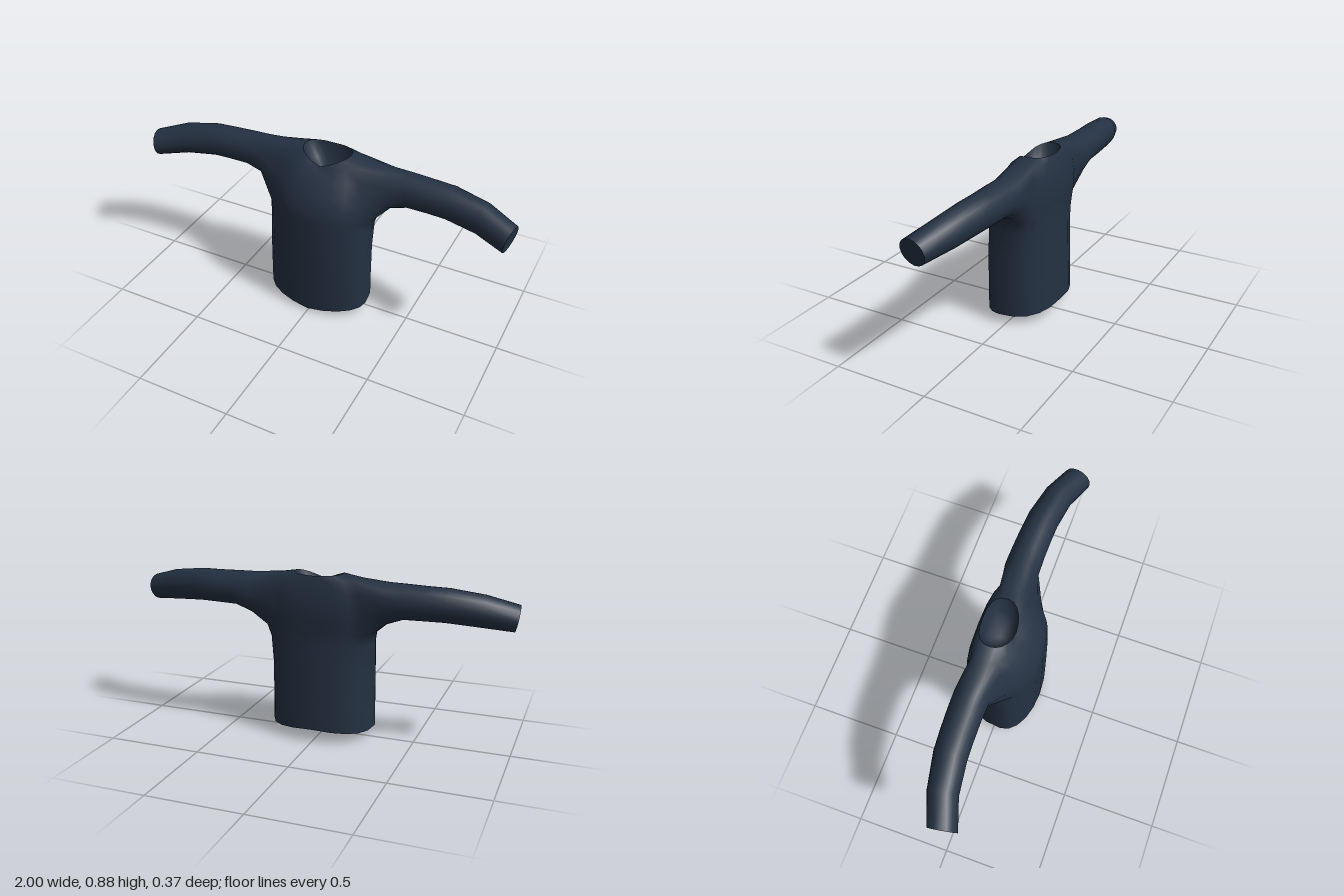
import * as THREE from 'three';

const N = 20;            // points around the torso
const M = 16;            // points around a sleeve
const HOLE = 4;          // torso row where the armhole starts (4 rows high, 4 columns wide)

// Torso rows: [side y, front y, back y, half width, front z, back z, z of widest point]
const ROWS = [
  [0.05, 0.012, 0.07, 0.277, 0.182, -0.185, 0.04],
  [0.20, 0.20, 0.20, 0.276, 0.182, -0.181, 0.04],
  [0.38, 0.38, 0.38, 0.276, 0.181, -0.174, 0.035],
  [0.52, 0.52, 0.52, 0.280, 0.180, -0.168, 0.01],
  [0.585, 0.585, 0.585, 0.295, 0.178, -0.166, -0.02],
  [0.655, 0.645, 0.65, 0.295, 0.174, -0.172, -0.045],
  [0.73, 0.715, 0.72, 0.285, 0.143, -0.174, -0.06],
  [0.80, 0.78, 0.79, 0.270, 0.095, -0.163, -0.068],
  [0.866, 0.812, 0.84, 0.230, 0.055, -0.150, -0.068],
  [0.882, 0.83, 0.876, 0.130, 0.033, -0.138, -0.055],
];

// Sleeve rings: [x, centre y, centre z, half height, half depth, slant]
const SLEEVE = [
  [0.36, 0.752, -0.066, 0.108, 0.090, 0],
  [0.45, 0.767, -0.065, 0.090, 0.087, 0],
  [0.56, 0.766, -0.062, 0.087, 0.085, 0],
  [0.66, 0.765, -0.056, 0.086, 0.083, 0.003],
  [0.83, 0.745, -0.028, 0.081, 0.076, 0.009],
  [0.985, 0.709, 0.027, 0.067, 0.073, 0.012],
];

const power = (v, e) => Math.sign(v) * Math.abs(v) ** e;

function torsoPoint([ys, yf, yb, w, zf, zb, zm], i) {
  const a = (i / N) * Math.PI * 2;
  const c = Math.cos(a), s = Math.sin(a);
  const e = s > 0 ? 0.95 : 0.8;
  const t = Math.abs(power(s, e));
  const k = 1 - Math.abs(c);
  return [
    w * power(c, e),
    ys + ((s > 0 ? yf : yb) - ys) * k,
    zm + t * ((s > 0 ? zf : zb) - zm),
  ];
}

function sleevePoint([x, y, z, ry, rz, slant], j, side) {
  const t = (j / M) * Math.PI * 2;
  const up = -Math.cos(t), front = Math.sin(t);
  return [side * (x + slant * (up - front)), y + ry * up, z + rz * front];
}

// Joins two rings of vertex numbers with quads
function bridge(index, lower, upper, flip = false) {
  const n = lower.length;
  for (let i = 0; i < n; i++) {
    const a = lower[i], b = upper[i], c = upper[(i + 1) % n], d = lower[(i + 1) % n];
    if (flip) index.push(a, c, b, a, d, c);
    else index.push(a, b, c, a, c, d);
  }
}

// Closes a ring with inner rings of points and a centre point
function capGeometry(rings, centre, flip) {
  const n = rings[0].length;
  const index = [];
  const ids = (r) => rings[0].map((_, i) => r * n + i);
  for (let r = 0; r + 1 < rings.length; r++) bridge(index, ids(r), ids(r + 1), flip);
  const last = ids(rings.length - 1), mid = rings.length * n;
  last.forEach((a, i) => {
    const b = last[(i + 1) % n];
    index.push(...(flip ? [a, b, mid] : [a, mid, b]));
  });
  const geo = new THREE.BufferGeometry();
  geo.setAttribute('position', new THREE.Float32BufferAttribute([...rings.flat(), centre].flat(), 3));
  geo.setIndex(index);
  geo.computeVertexNormals();
  return geo;
}

export function createModel() {
  const group = new THREE.Group();
  const navy = new THREE.MeshStandardMaterial({ color: 0x243142, side: THREE.DoubleSide });
  navy.name = 'navy cloth';
  const add = (name, geo) => {
    const mesh = new THREE.Mesh(geo, navy);
    mesh.name = name;
    group.add(mesh);
  };

  const points = [];
  const torsoIndex = [];
  const id = (r, i) => r * N + ((i % N) + N) % N;

  // Torso grid, leaving out the two armholes
  ROWS.forEach((row) => {
    for (let i = 0; i < N; i++) points.push(torsoPoint(row, i));
  });
  for (let r = 0; r + 1 < ROWS.length; r++) {
    for (let i = 0; i < N; i++) {
      const atSide = i < 2 || i >= N - 2 || (i >= N / 2 - 2 && i < N / 2 + 2);
      if (atSide && r >= HOLE && r < HOLE + 4) continue;
      const a = id(r, i), b = id(r + 1, i), c = id(r + 1, i + 1), d = id(r, i + 1);
      torsoIndex.push(a, b, c, a, c, d);
    }
  }

  // Armhole edge as [column, row], from the armpit round by the front
  const edge = [
    [0, 0], [1, 0], [2, 0], [2, 1], [2, 2], [2, 3], [2, 4], [1, 4],
    [0, 4], [-1, 4], [-2, 4], [-2, 3], [-2, 2], [-2, 1], [-2, 0], [-1, 0],
  ];

  // Sleeves grown from the armholes
  const sleeveIndex = [1, -1].map((side) => {
    const index = [];
    let ring = edge.map(([c, r]) => id(HOLE + r, side > 0 ? c : N / 2 - c));
    SLEEVE.forEach((section) => {
      const next = edge.map((_, j) => points.push(sleevePoint(section, j, side)) - 1);
      bridge(index, ring, next, side < 0);
      ring = next;
    });
    return index;
  });

  // One set of smooth normals shared by torso and sleeves
  const whole = new THREE.BufferGeometry();
  whole.setAttribute('position', new THREE.Float32BufferAttribute(points.flat(), 3));
  whole.setIndex([...torsoIndex, ...sleeveIndex.flat()]);
  whole.computeVertexNormals();
  const piece = (index) => {
    const geo = whole.clone();
    geo.setIndex(index);
    return geo;
  };
  add('torso', piece(torsoIndex));
  add('leftSleeve', piece(sleeveIndex[0]));
  add('rightSleeve', piece(sleeveIndex[1]));

  // Flat cuff ends
  for (const side of [1, -1]) {
    const end = SLEEVE[SLEEVE.length - 1];
    const ring = edge.map((_, j) => sleevePoint(end, j, side));
    add(side > 0 ? 'leftCuffEnd' : 'rightCuffEnd',
      capGeometry([ring], [side * end[0], end[1], end[2]], side < 0));
  }

  // Hollow inside the neck opening
  const neck = points.slice((ROWS.length - 1) * N, ROWS.length * N);
  const neckInner = neck.map(([x, y, z]) => [x * 0.75, y - 0.09, -0.055 + (z + 0.055) * 0.8]);
  add('neckInside', capGeometry([neck, neckInner], [0, 0.7, -0.055], false));

  // Underside, sagging to a keel along the middle
  const hem = points.slice(0, N);
  const keel = hem.map(([x, , z]) => {
    const kx = x * 0.55, kz = 0.02 + (z - 0.02) * 0.6;
    return [kx, 0.002 + 0.16 * Math.abs(kx) + 0.3 * Math.max(0, -kz), kz];
  });
  add('underside', capGeometry([hem, keel], [0, 0, 0.05], true));

  return group;
}
